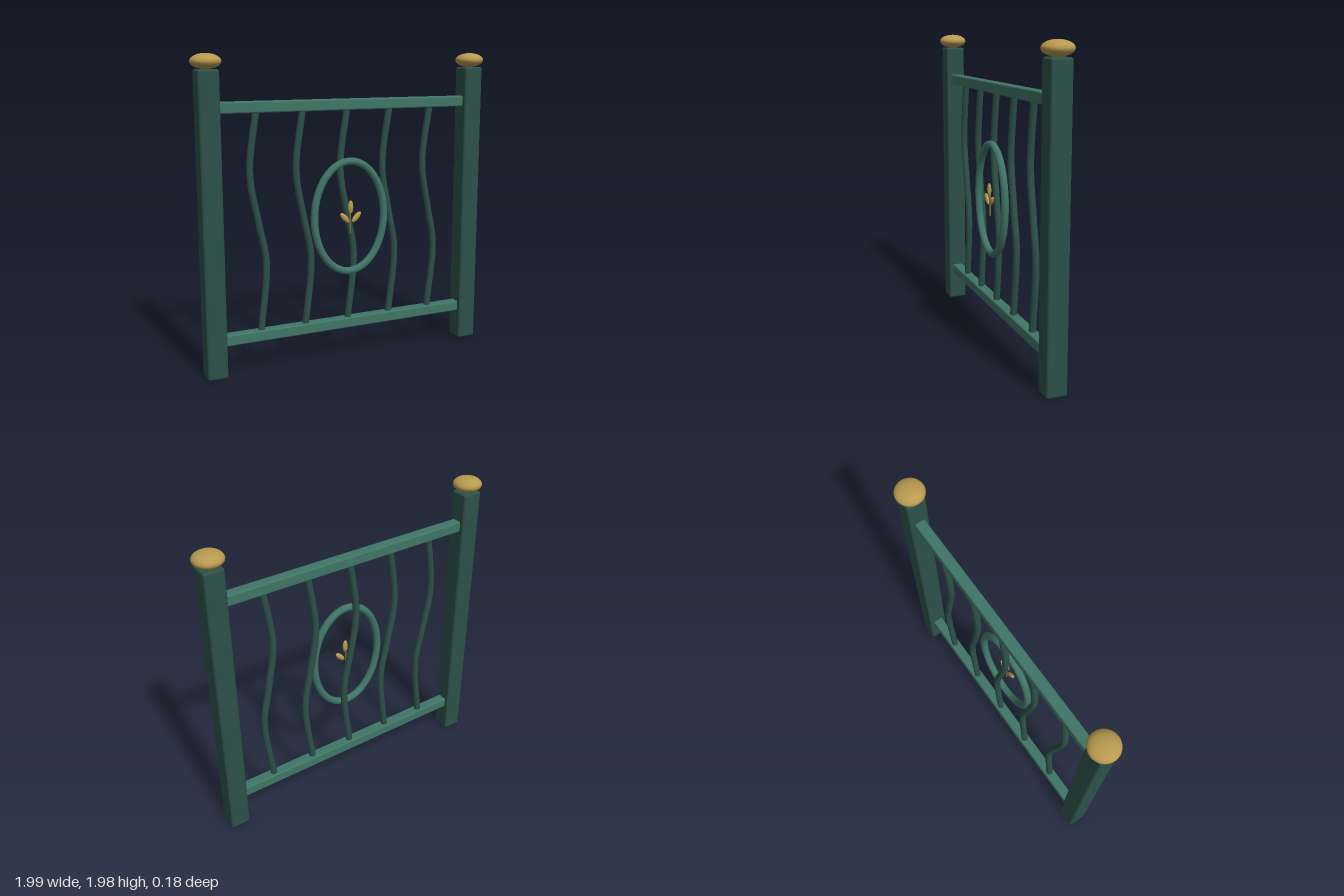
import * as THREE from 'three';
import { RoundedBoxGeometry } from 'three/addons/geometries/RoundedBoxGeometry.js';

const paint = (color) => new THREE.MeshStandardMaterial({ color });

export function createModel() {
  const group = new THREE.Group();
  const darkGreen = paint(0x2c5048);
  const green = paint(0x3f7566);
  const brass = paint(0xb8994f);
  const bronze = paint(0x7d6a3c);

  const add = (name, geometry, material, x = 0, y = 0, z = 0) => {
    const mesh = new THREE.Mesh(geometry, material);
    mesh.name = name;
    mesh.position.set(x, y, z);
    group.add(mesh);
    return mesh;
  };

  // Square posts with flattened ball caps
  for (const side of [-1, 1]) {
    const label = side > 0 ? 'left' : 'right';
    add(label + 'Post', new RoundedBoxGeometry(0.13, 1.89, 0.13, 3, 0.015), darkGreen, side * 0.905, 0.945, 0);
    const cap = new THREE.SphereGeometry(0.092, 32, 20);
    cap.scale(1, 0.5, 1);
    add(label + 'PostCap', cap, brass, side * 0.905, 1.936, 0);
  }

  // Horizontal rails, tucked into the posts
  for (const [name, y] of [['bottomRail', 0.23], ['topRail', 1.665]]) {
    add(name, new RoundedBoxGeometry(1.72, 0.07, 0.07, 3, 0.01), green, 0, y, 0);
  }

  // Wavy balusters
  const wave = new THREE.CatmullRomCurve3(
    [[0, 0.23], [0.045, 0.7], [0, 0.95], [-0.05, 1.26], [0, 1.665]]
      .map(([x, y]) => new THREE.Vector3(x, y, 0)));
  const barGeometry = new THREE.TubeGeometry(wave, 40, 0.022, 12, false);
  for (let i = -2; i <= 2; i++) add('wavyBar' + (i + 3), barGeometry, darkGreen, i * 0.302, 0, 0);

  // Oval ring in front of the bars
  const oval = new THREE.CatmullRomCurve3(
    Array.from({ length: 32 }, (_, i) => {
      const a = (i / 32) * Math.PI * 2;
      return new THREE.Vector3(0.246 * Math.cos(a), 0.36 * Math.sin(a), 0);
    }), true);
  add('ovalRing', new THREE.TubeGeometry(oval, 80, 0.024, 12, true), green, 0, 0.947, 0.036);

  // Small sprig: a stem and three leaves
  add('sprigStem', new THREE.CylinderGeometry(0.006, 0.006, 0.16, 10), bronze, 0, 0.92, 0.045);
  const leafGeometry = new THREE.SphereGeometry(1, 20, 14);
  leafGeometry.scale(0.018, 0.044, 0.013);
  for (const [name, x, y, tilt] of [
    ['topLeaf', 0, 1.012, 0], ['leftLeaf', 0.041, 0.944, -0.75], ['rightLeaf', -0.041, 0.944, 0.75],
  ]) {
    add(name, leafGeometry, brass, x, y, 0.05).rotation.z = tilt;
  }

  return group;
}
